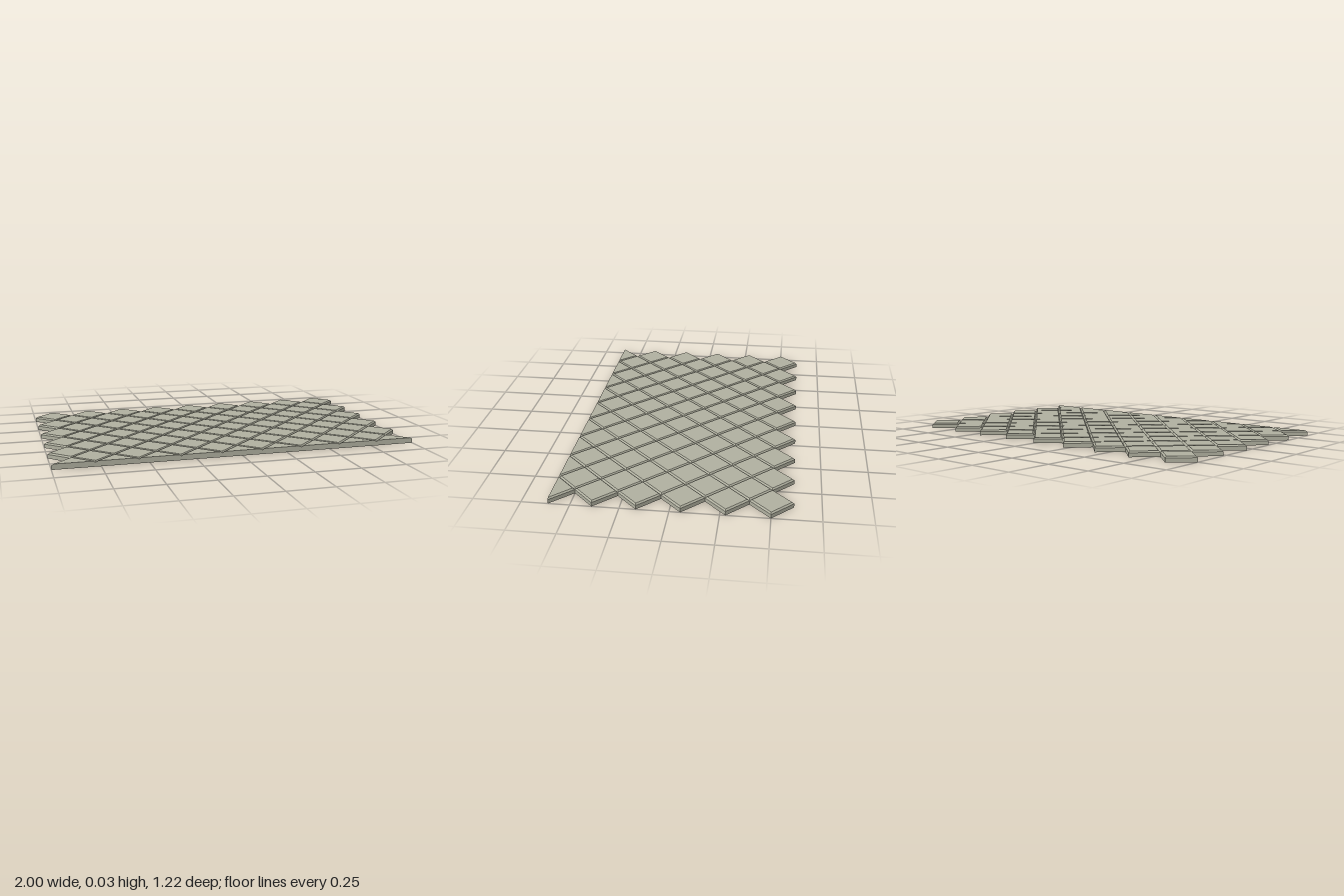
import * as THREE from 'three';

const R = 1 / 9;        // half diagonal of a tile
const H = 0.03;         // tile thickness
const BEVEL_Y = 0.022;  // height where the bevel starts
const INSET = 0.011;    // bevel inset along the diagonals

// Bevelled prism: the outline (unit points, [x, z]) is stacked in three rings and capped.
function tileGeometry(outline) {
  const n = outline.length;
  const rings = [[R, 0], [R, BEVEL_Y], [R - INSET, H]].map(([s, y]) =>
    outline.map(([x, z]) => [x * s, y, z * s]));
  const pos = [];
  const tri = (a, b, c) => pos.push(...a, ...b, ...c);
  for (let k = 0; k < 2; k++) {
    for (let i = 0; i < n; i++) {
      const j = (i + 1) % n;
      const [a, b, c, d] = [rings[k][i], rings[k][j], rings[k + 1][j], rings[k + 1][i]];
      tri(a, b, c);
      tri(a, c, d);
    }
  }
  for (let i = 1; i < n - 1; i++) {
    tri(rings[2][0], rings[2][i], rings[2][i + 1]);
    tri(rings[0][0], rings[0][i + 1], rings[0][i]);
  }
  const geo = new THREE.BufferGeometry();
  geo.setAttribute('position', new THREE.Float32BufferAttribute(pos, 3));
  geo.computeVertexNormals();
  return geo;
}

export function createModel() {
  const group = new THREE.Group();
  group.name = 'diamondTileFloor';
  const material = new THREE.MeshStandardMaterial({ color: 0xb0b0a0, flatShading: true });

  // Outlines run counter-clockwise seen from above
  const diamond = tileGeometry([[1, 0], [0, -1], [-1, 0], [0, 1]]);
  const half = tileGeometry([[1, 0], [0, -1], [-1, 0]]);

  // Staggered rows from back to front; the last row is cut straight
  const rows = 11;
  for (let r = 0; r < rows; r++) {
    const count = r % 2 === 0 ? 9 : 8;
    const last = r === rows - 1;
    for (let c = 0; c < count; c++) {
      const tile = new THREE.Mesh(last ? half : diamond, material);
      tile.name = last ? 'halfTile' : 'diamondTile';
      tile.position.set((2 * c - (count - 1)) * R, 0, (r + 1 - rows / 2) * R);
      group.add(tile);
    }
  }
  return group;
}
